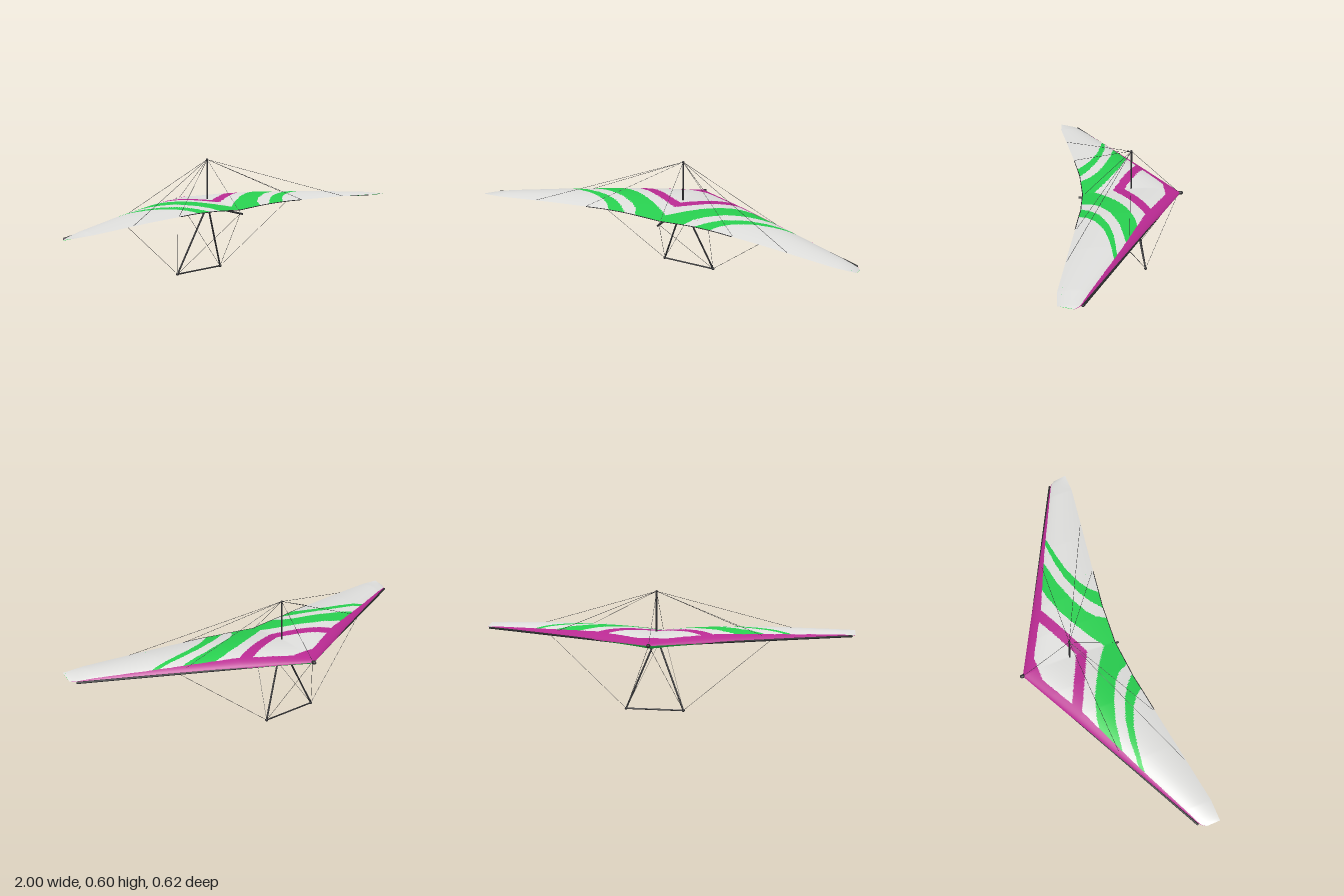
import * as THREE from 'three';

const V = (x, y, z) => new THREE.Vector3(x, y, z);

// piecewise-linear lookup through [x, value] pairs
function at(pts, x) {
  for (let i = 1; i < pts.length; i++) {
    const [x0, v0] = pts[i - 1], [x1, v1] = pts[i];
    if (x <= x1) return v0 + (v1 - v0) * (x - x0) / (x1 - x0);
  }
  return pts[pts.length - 1][1];
}

// wing planform and section heights, by distance from the centre line
const leadZ = [[0, -0.3], [0.96, 0.204], [0.985, 0.222], [1, 0.245]];
const trailZ = [[0, 0.195], [0.2, 0.207], [0.4, 0.235], [0.6, 0.265], [0.8, 0.295], [0.9, 0.31], [1, 0.31]];
const leadY = [[0, 0.36], [1, 0.353]];
const trailY = [[0, 0.365], [0.15, 0.376], [0.3, 0.382], [0.6, 0.38], [1, 0.37]];
const topBulge = [[0, 0.031], [0.15, 0.038], [0.3, 0.04], [0.6, 0.032], [0.9, 0.016], [1, 0.002]];
const lowBulge = [[0, 0.032], [0.1, 0.024], [0.3, 0.014], [0.9, 0.006], [1, 0]];
const LOWER_END = 0.87; // chord fraction where the lower skin meets the upper one

const bulge = t => Math.pow(t, 0.6) * (1 - t) / 0.347;
const lerp = THREE.MathUtils.lerp;
const chordZ = (x, t) => lerp(at(leadZ, x), at(trailZ, x), t);
const topY = (x, t) => lerp(at(leadY, x), at(trailY, x), t) + at(topBulge, x) * bulge(t);
const lowY = (x, s) => lerp(at(leadY, x), topY(x, LOWER_END), s) - at(lowBulge, x) * bulge(s);

// painted sail pattern
const strip = [[0, 0.05], [0.3, 0.052], [0.6, 0.025], [0.95, 0.007], [1, 0]];
const arc1 = [
  [[0, 0.135], [0.05, 0.098], [0.1, 0.065], [0.17, 0.025], [0.24, -0.01], [0.34, -0.042], [0.42, -0.053], [0.6, -0.08]],
  [[0, 0.3], [0.135, 0.2], [0.16, 0.15], [0.2, 0.115], [0.29, 0.068], [0.4, 0.033], [0.6, 0.003]],
];
const arc2 = [
  [[0, 0.4], [0.19, 0.207], [0.24, 0.16], [0.3, 0.122], [0.4, 0.083], [0.5, 0.064], [0.7, 0.053]],
  [[0, 0.4], [0.28, 0.215], [0.31, 0.178], [0.36, 0.142], [0.45, 0.105], [0.55, 0.085], [0.7, 0.068]],
];
const inArc = (arc, x, z) => z > at(arc[0], x) && z < at(arc[1], x);
const WHITE = 0, MAGENTA = 1, GREEN = 2;

function topPaint(x, z) {
  const vee = z + 0.48 * x;
  if (z < -0.217 || z - at(leadZ, x) < at(strip, x)) return MAGENTA;
  if (x < 0.3 && vee > -0.015 && vee < 0.042) return MAGENTA;
  if (x < 0.6 && inArc(arc1, x, z)) return GREEN;
  if (x < 0.69 && inArc(arc2, x, z)) return GREEN;
  return WHITE;
}
const lowPaint = (x, z) => (x < 0.68 && inArc(arc1, Math.max(0, x - 0.04), z) ? MAGENTA : GREEN);

// smooth skin over the span, each triangle sorted into a paint group
function skin(name, chordEnd, heightAt, paint, facing, mats) {
  const nx = 400, nt = 72, pos = [], lists = [[], [], []];
  for (let i = 0; i <= nx; i++) {
    const x = -1 + 2 * i / nx, ax = Math.abs(x);
    for (let j = 0; j <= nt; j++) {
      const s = Math.pow(j / nt, 1.4);
      pos.push(x, heightAt(ax, s), chordZ(ax, s * chordEnd));
    }
  }
  const add = (a, b, c) => {
    const cx = (Math.abs(pos[3 * a]) + Math.abs(pos[3 * b]) + Math.abs(pos[3 * c])) / 3;
    const cz = (pos[3 * a + 2] + pos[3 * b + 2] + pos[3 * c + 2]) / 3;
    lists[paint(cx, cz)].push(...(facing > 0 ? [a, b, c] : [a, c, b]));
  };
  for (let i = 0; i < nx; i++) for (let j = 0; j < nt; j++) {
    const a = i * (nt + 1) + j, c = a + nt + 1;
    add(a, a + 1, c);
    add(a + 1, c + 1, c);
  }
  const geo = new THREE.BufferGeometry();
  geo.setAttribute('position', new THREE.Float32BufferAttribute(pos, 3));
  geo.setIndex(lists.flat());
  let start = 0;
  lists.forEach((l, k) => { geo.addGroup(start, l.length, k); start += l.length; });
  geo.computeVertexNormals();
  const mesh = new THREE.Mesh(geo, mats);
  mesh.name = name;
  return mesh;
}

export function createModel() {
  const group = new THREE.Group();
  group.name = 'hangGlider';
  const cloth = (name, color) => {
    const m = new THREE.MeshStandardMaterial({ color, side: THREE.DoubleSide });
    m.name = name;
    return m;
  };
  const sail = [cloth('sailWhite', 0xdededc), cloth('sailMagenta', 0xb92a92), cloth('sailGreen', 0x28cf4f)];
  const dark = new THREE.MeshStandardMaterial({ color: 0x2a2a2c });
  dark.name = 'frameDark';

  const put = (name, geo, p) => {
    const m = new THREE.Mesh(geo, dark);
    m.name = name;
    if (p) m.position.copy(p);
    group.add(m);
    return m;
  };
  const rod = (name, a, b, r, sides = 10) => {
    const d = b.clone().sub(a);
    const m = put(name, new THREE.CylinderGeometry(r, r, d.length(), sides), a.clone().add(b).multiplyScalar(0.5));
    m.quaternion.setFromUnitVectors(V(0, 1, 0), d.normalize());
  };
  const wire = (name, a, b) => rod(name, a, b, 0.0009, 5);
  const ball = (name, p, r) => put(name, new THREE.SphereGeometry(r, 14, 10), p);

  // sail
  group.add(skin('upperSail', 1, topY, topPaint, 1, sail));
  group.add(skin('lowerSail', LOWER_END, lowY, lowPaint, -1, sail));

  // keel, nose and king post
  const mast = V(0, 0.594, -0.05), nose = V(0, 0.361, -0.3), tail = V(0, 0.348, 0.215);
  rod('keel', V(0, 0.36, -0.29), tail, 0.005);
  ball('noseCap', nose, 0.01).scale.set(1, 0.95, 1.45);
  rod('kingPost', V(0, 0.36, -0.05), mast, 0.0045);
  ball('kingPostCap', mast, 0.006);
  rod('frameBracket', V(0, 0.333, -0.05), V(0, 0.362, -0.05), 0.006);

  // control frame base bar
  const corner = s => V(s * 0.145, 0.008, -0.115);
  rod('baseBar', corner(-1), corner(1), 0.004);

  // trailing edge cord
  const cord = [];
  for (let i = -10; i <= 10; i++) {
    const x = Math.abs(i) * 0.04;
    cord.push(V(i * 0.04, at(trailY, x), at(trailZ, x)));
  }
  put('trailingCord', new THREE.TubeGeometry(new THREE.CatmullRomCurve3(cord), 40, 0.002, 5));

  // mirrored frame tubes and rigging
  for (const s of [-1, 1]) {
    const tip = V(s * 0.975, 0.352, 0.209);
    rod('leadingEdgeTube', V(0, 0.361, -0.29), tip, 0.0055);
    ball('leadingEdgeCap', tip, 0.006);
    rod('downTube', V(s * 0.008, 0.345, -0.05), corner(s), 0.0045);
    ball('frameCorner', corner(s), 0.0075);
    const side = V(s * 0.57, 0.358, 0);
    wire('lowerSideWire', corner(s), side);
    wire('lowerNoseWire', corner(s), V(0, 0.36, -0.29));
    wire('lowerTailWire', corner(s), V(0, 0.348, 0.2));
    wire('upperSideWire', mast, side);
    for (const x of [0.4, 0.68])
      wire('trailingEdgeWire', mast, V(s * x, topY(x, 0.98), chordZ(x, 0.98)));
  }
  wire('upperNoseWire', mast, V(0, 0.365, -0.29));
  wire('upperTailWire', mast, V(0, 0.352, 0.2));
  return group;
}
